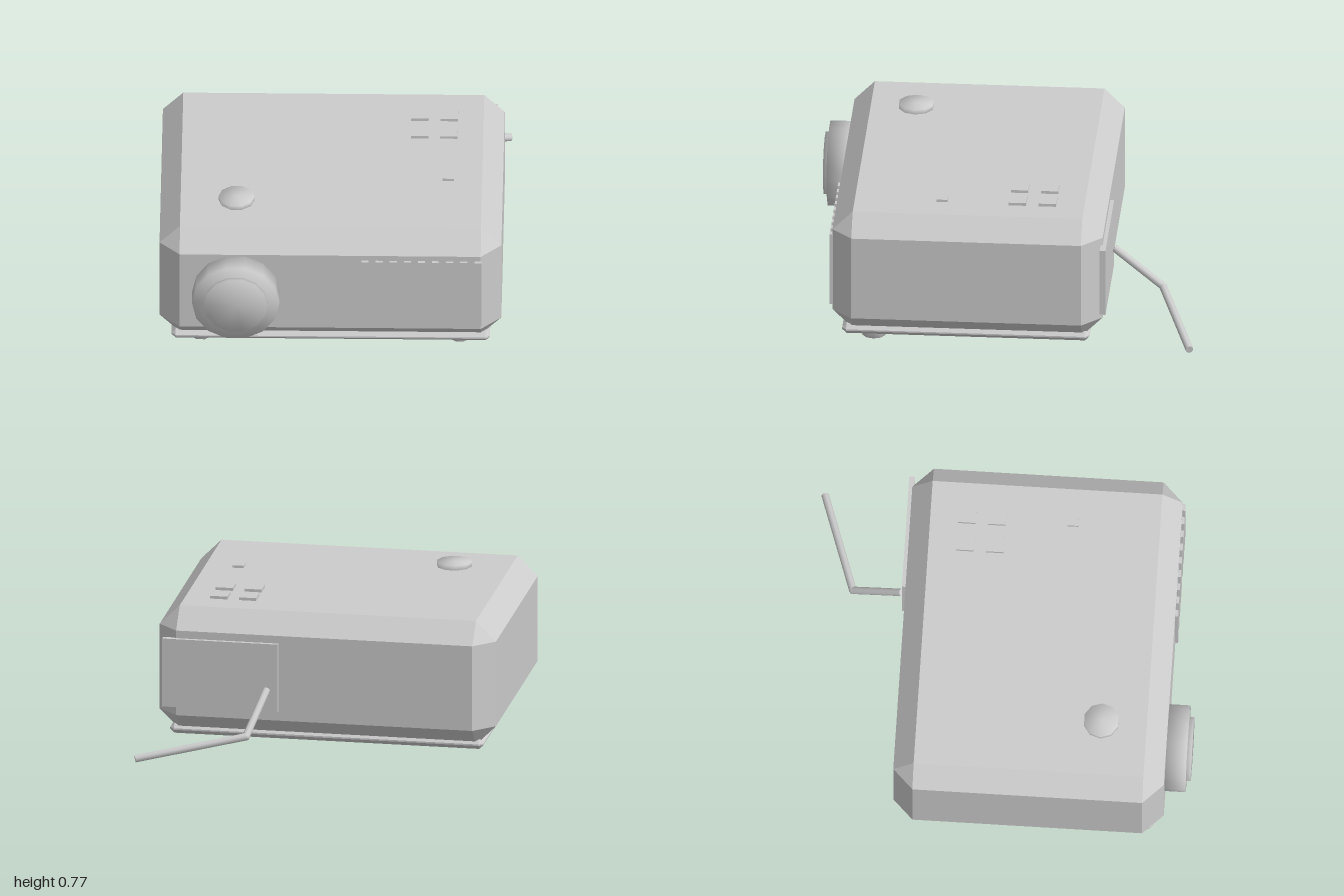
import * as THREE from 'three';
import { mergeVertices } from 'three/addons/utils/BufferGeometryUtils.js';
import { ConvexGeometry } from 'three/addons/geometries/ConvexGeometry.js';

export function createModel() {
  const model = new THREE.Group();
  model.name = 'projector';
  const grey = new THREE.MeshStandardMaterial({ color: 0xcccccc });
  grey.name = 'lightGrey';

  const add = (name, geometry, x = 0, y = 0, z = 0) => {
    const mesh = new THREE.Mesh(geometry, grey);
    mesh.name = name;
    mesh.position.set(x, y, z);
    model.add(mesh);
    return mesh;
  };

  // Box with every edge cut at 45 degrees
  const chamferBox = (w, h, d, c) => {
    const points = [];
    for (const sx of [-1, 1]) for (const sy of [-1, 1]) for (const sz of [-1, 1]) {
      const x = sx * w / 2, y = sy * h / 2, z = sz * d / 2;
      const ix = x - sx * c, iy = y - sy * c, iz = z - sz * c;
      points.push(new THREE.Vector3(x, iy, iz), new THREE.Vector3(ix, y, iz), new THREE.Vector3(ix, iy, z));
    }
    return new ConvexGeometry(points);
  };

  // Cylinder whose normals blend over the rim, giving a soft look
  const softCylinder = (radius, height, sides) => {
    const g = new THREE.CylinderGeometry(radius, radius, height, sides, 1, false, Math.PI / 2);
    g.deleteAttribute('normal');
    g.deleteAttribute('uv');
    const merged = mergeVertices(g, 1e-4);
    merged.computeVertexNormals();
    return merged;
  };

  // Casing and base tray
  add('casing', chamferBox(1.76, 0.665, 1.395, 0.105), -0.02, 0.4125, 0.1725);
  add('baseTray', chamferBox(1.64, 0.052, 1.275, 0.022), -0.018, 0.089, 0.18);

  // Lens barrel and glass
  add('lensBarrel', softCylinder(0.225, 0.13, 14).rotateX(Math.PI / 2), -0.505, 0.41, 0.912);
  add('lensGlass', softCylinder(0.165, 0.06, 14).rotateX(Math.PI / 2), -0.505, 0.41, 0.97);

  // Front vent slats
  for (let i = 0; i < 9; i++) {
    add('ventSlat', new THREE.BoxGeometry(0.037, 0.395, 0.03), 0.16 + i * 0.0726, 0.413, 0.87);
  }

  // Top dial and buttons
  add('focusDial', softCylinder(0.092, 0.05, 10), -0.507, 0.745, 0.53);
  for (const x of [0.427, 0.578]) for (const z of [-0.23, -0.075]) {
    add('button', new THREE.BoxGeometry(0.09, 0.03, 0.09), x, 0.745, z);
  }
  add('smallButton', new THREE.BoxGeometry(0.058, 0.03, 0.058), 0.58, 0.743, 0.315);

  // Front feet
  for (const x of [-0.687, 0.645]) {
    add('foot', softCylinder(0.062, 0.08, 10), x, 0.04, 0.663);
  }

  // Rear connector panel
  add('rearPanel', new THREE.BoxGeometry(0.605, 0.365, 0.03), 0.522, 0.417, -0.53);

  // Bent power cable
  const path = [[0.277, 0.355, -0.55], [0.338, 0.175, -0.805], [0.885, 0.08, -0.983]]
    .map((p) => new THREE.Vector3(...p));
  for (let i = 0; i < 2; i++) {
    const run = path[i + 1].clone().sub(path[i]);
    const cable = add('cable', new THREE.CylinderGeometry(0.02, 0.02, run.length(), 10));
    cable.position.copy(path[i]).addScaledVector(run, 0.5);
    cable.quaternion.setFromUnitVectors(new THREE.Vector3(0, 1, 0), run.normalize());
  }
  add('cableBend', new THREE.SphereGeometry(0.02, 10, 8), ...path[1].toArray());

  return model;
}
